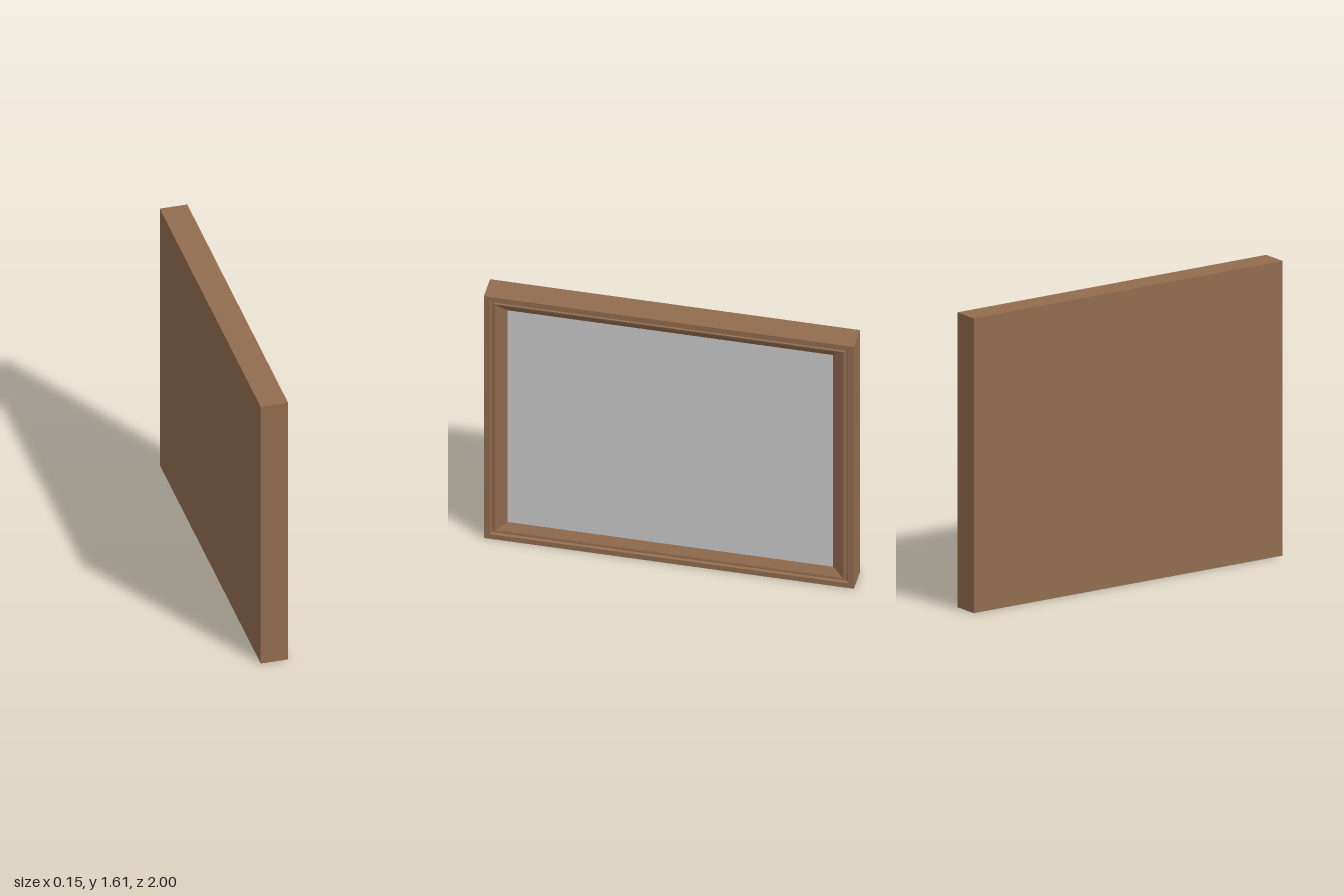
import * as THREE from 'three';

const HALF_X = 0.075, HALF_Z = 1, HEIGHT = 1.61;

// Moulding section from back edge to picture opening: [inset in z, inset in y, x]
const PROFILE = [
  [0, 0, -HALF_X],
  [0, 0, HALF_X],
  [0.033, 0.031, HALF_X],
  [0.037, 0.035, 0.06],
  [0.05, 0.045, 0.06],
  [0.053, 0.048, 0.068],
  [0.064, 0.057, 0.066],
  [0.12, 0.1, 0.04],
];

// Four corners of a rectangular loop, counter-clockwise seen from +x
function loop([insetZ, insetY, x]) {
  const z = HALF_Z - insetZ, low = insetY, high = HEIGHT - insetY;
  return [[x, low, z], [x, low, -z], [x, high, -z], [x, high, z]];
}

function quadGeometry(quads) {
  const positions = quads.flatMap(([a, b, c, d]) => [a, b, c, a, c, d].flat());
  const geometry = new THREE.BufferGeometry();
  geometry.setAttribute('position', new THREE.Float32BufferAttribute(positions, 3));
  geometry.computeVertexNormals();
  return geometry;
}

export function createModel() {
  const group = new THREE.Group();
  group.name = 'pictureFrame';
  const wood = new THREE.MeshStandardMaterial({ color: 0x926c4e, flatShading: true });
  const grey = new THREE.MeshStandardMaterial({ color: 0xcccccc });

  function add(name, quads, material) {
    const mesh = new THREE.Mesh(quadGeometry(quads), material);
    mesh.name = name;
    group.add(mesh);
  }

  // Mitred moulding: join each loop of the section to the next
  const loops = PROFILE.map(loop);
  const sides = [];
  for (let i = 0; i < loops.length - 1; i++) {
    for (let j = 0; j < 4; j++) {
      const k = (j + 1) % 4;
      sides.push([loops[i][j], loops[i][k], loops[i + 1][k], loops[i + 1][j]]);
    }
  }
  add('frameMoulding', sides, wood);

  // Closed back and the recessed picture surface
  add('backPanel', [[...loops[0]].reverse()], wood);
  add('picturePanel', [loops[loops.length - 1]], grey);

  return group;
}
